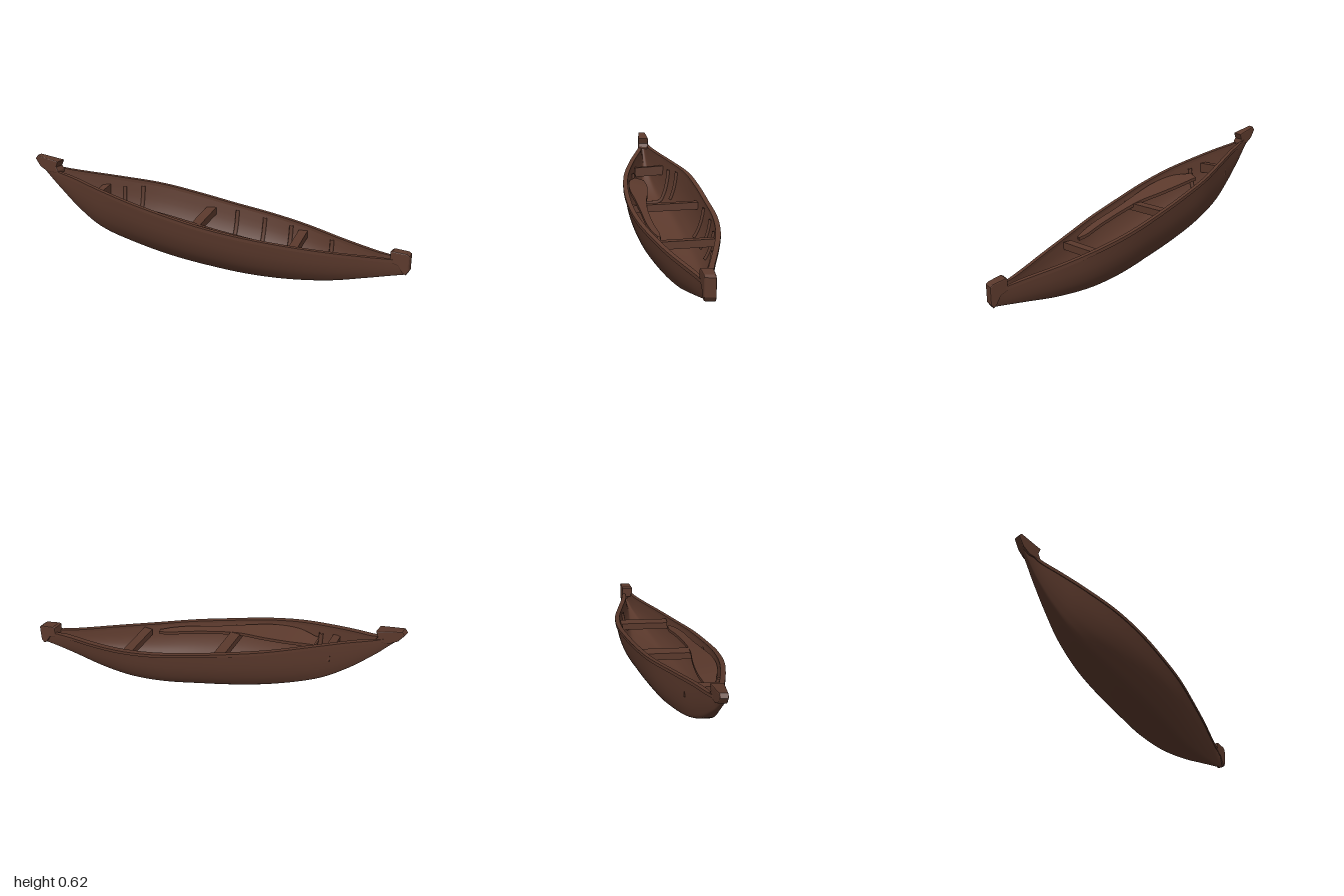
import * as THREE from 'three';

const wood = new THREE.MeshStandardMaterial({ color: 0x5b392c, side: THREE.DoubleSide });
wood.name = 'dark brown wood';

// Hull stations: x, far rim z, far rim y, near rim z, near rim y, keel y
const stations = [
  [-0.98, 0.247, 0.59, 0.282, 0.59, 0.575],
  [-0.92, 0.225, 0.565, 0.276, 0.56, 0.505],
  [-0.86, 0.195, 0.545, 0.272, 0.535, 0.437],
  [-0.74, 0.128, 0.52, 0.281, 0.51, 0.322],
  [-0.6, 0.04, 0.49, 0.295, 0.475, 0.228],
  [-0.4, -0.08, 0.445, 0.3, 0.425, 0.16],
  [-0.2, -0.158, 0.393, 0.275, 0.372, 0.105],
  [0, -0.22, 0.34, 0.225, 0.317, 0.062],
  [0.2, -0.275, 0.292, 0.155, 0.27, 0.025],
  [0.4, -0.3, 0.246, 0.06, 0.226, 0.004],
  [0.6, -0.295, 0.2, -0.045, 0.188, 0.005],
  [0.78, -0.284, 0.166, -0.15, 0.158, 0.026],
  [0.9, -0.285, 0.146, -0.216, 0.142, 0.043],
  [0.985, -0.298, 0.135, -0.248, 0.135, 0.056],
];
const curve = (f) => new THREE.CatmullRomCurve3(
  stations.map((s) => new THREE.Vector3(...f(s))), false, 'catmullrom');
const farRim = curve((s) => [s[0], s[2], s[1]]);
const nearRim = curve((s) => [s[0], s[4], s[3]]);
const keel = curve((s) => [s[0], s[5], (s[1] + s[3]) / 2]);

// Half cross-section, flat floor to steep side: (width, depth) as fractions
const section = new THREE.SplineCurve([[0, 1], [0.25, 0.995], [0.5, 0.955], [0.66, 0.82],
  [0.8, 0.64], [0.92, 0.37], [1, 0]].map((p) => new THREE.Vector2(...p)));

function tAt(x) {
  let lo = 0, hi = 1;
  for (let i = 0; i < 30; i++) {
    const mid = (lo + hi) / 2;
    if (keel.getPoint(mid).x < x) lo = mid; else hi = mid;
  }
  return lo;
}

// Point on the shell: s runs from -1 (far rim) over the keel to 1 (near rim)
function shell(t, s, inset, floor) {
  const rim = (s < 0 ? farRim : nearRim).getPoint(t);
  const k = keel.getPoint(t);
  const { x: u, y: v } = section.getPoint(Math.abs(s));
  const half = rim.z - k.z;
  const w = Math.sign(half) * Math.max(Math.abs(half) - inset, Math.abs(half) * 0.5);
  const bottom = Math.min(k.y + floor, Math.max(k.y, rim.y - 0.01));
  return new THREE.Vector3(k.x, rim.y + (bottom - rim.y) * v, k.z + w * u);
}

// Smooth surface from a function of two grid parameters
function grid(f, nu, nv) {
  const pos = [], index = [];
  for (let i = 0; i <= nu; i++) {
    for (let j = 0; j <= nv; j++) {
      const p = f(i / nu, j / nv);
      pos.push(p.x, p.y, p.z);
      if (i < nu && j < nv) {
        const a = i * (nv + 1) + j, b = a + nv + 1;
        index.push(a, a + 1, b, a + 1, b + 1, b);
      }
    }
  }
  const g = new THREE.BufferGeometry();
  g.setAttribute('position', new THREE.Float32BufferAttribute(pos, 3));
  g.setIndex(index);
  g.computeVertexNormals();
  return g;
}

// Four-sided bar with sharp edges; corner(t, i) gives each corner
function bar(corner, n) {
  const g = grid((u, v) => corner(u, Math.round(v * 4) % 4), n, 4).toNonIndexed();
  g.computeVertexNormals();
  return g;
}

export function createModel() {
  const group = new THREE.Group();
  const add = (name, geometry) => {
    const m = new THREE.Mesh(geometry, wood);
    m.name = name;
    group.add(m);
    return m;
  };

  // Outer planking and inner lining
  add('outerHull', grid((u, v) => shell(u, v * 2 - 1, 0.003, 0), 64, 36));
  add('innerHull', grid((u, v) => shell(u, 1 - v * 2, 0.024, 0.028), 64, 36));

  // Gunwales along both rims
  for (const side of [-1, 1]) {
    add(side < 0 ? 'farGunwale' : 'nearGunwale', bar((t, i) => {
      const p = shell(t, side, i === 0 || i === 3 ? 0 : 0.026, 0);
      p.y += i < 2 ? 0.003 : -0.015;
      return p;
    }, 64));
  }

  // Raised end posts, sheared to follow the hull's slanted centreline
  function post(name, profile, x0, x1, z0, z1, w0, w1) {
    const shape = new THREE.Shape(profile.map((p) => new THREE.Vector2(...p)));
    const g = new THREE.ExtrudeGeometry(shape, {
      depth: 0.76, bevelEnabled: true, bevelThickness: 0.12,
      bevelSize: 0.006, bevelOffset: -0.006, bevelSegments: 2,
    });
    g.translate(0, 0, -0.38);
    const p = g.attributes.position;
    for (let i = 0; i < p.count; i++) {
      const k = (p.getX(i) - x0) / (x1 - x0);
      p.setZ(i, z0 + (z1 - z0) * k + p.getZ(i) * (w0 + (w1 - w0) * k));
    }
    g.computeVertexNormals();
    add(name, g);
  }
  post('highEndPost', [[-1, 0.605], [-0.985, 0.625], [-0.86, 0.597], [-0.872, 0.565],
    [-0.86, 0.545], [-0.86, 0.53], [-0.93, 0.535], [-0.97, 0.56]],
  -1, -0.86, 0.266, 0.239, 0.04, 0.066);
  post('lowEndPost', [[0.9, 0.125], [0.9, 0.184], [0.912, 0.19], [0.985, 0.179], [1, 0.168],
    [0.998, 0.078], [0.983, 0.056], [0.965, 0.07], [0.94, 0.11]],
  0.9, 1, -0.252, -0.276, 0.064, 0.056);

  // Cross seats
  function seat(name, a, b, width, height) {
    const from = new THREE.Vector3(...a), to = new THREE.Vector3(...b);
    const m = add(name, new THREE.BoxGeometry(width, height, from.distanceTo(to)));
    m.position.copy(from).add(to).multiplyScalar(0.5);
    m.lookAt(to);
  }
  seat('highSeat', [-0.655, 0.425, 0.092], [-0.627, 0.413, 0.263], 0.04, 0.055);
  seat('middleSeat', [-0.122, 0.3, -0.152], [-0.067, 0.283, 0.208], 0.055, 0.04);
  seat('lowSeat', [0.39, 0.2, -0.268], [0.432, 0.187, 0.002], 0.05, 0.04);

  // Ribs against the far inside wall
  for (const x of [-0.48, 0.02, 0.17, 0.32, 0.56]) {
    const t = tAt(x), pts = [];
    for (let i = 0; i <= 6; i++) pts.push(shell(t, -0.55 - i * 0.065, 0.026, 0.03));
    add('rib', new THREE.TubeGeometry(new THREE.CatmullRomCurve3(pts), 10, 0.012, 6));
  }
  // Rib running across the floor
  const floorPts = [];
  for (let i = -8; i <= 8; i++) floorPts.push(shell(tAt(-0.55 + i * 0.002), i / 8.8, 0.028, 0.03));
  add('floorRib', new THREE.TubeGeometry(new THREE.CatmullRomCurve3(floorPts), 24, 0.012, 6));

  // Paddle leaning along the near wall: x, y, z, half width
  const paddle = [[-0.53, 0.375, 0.225, 0.028], [-0.4, 0.368, 0.215, 0.052], [-0.25, 0.345, 0.195, 0.052],
    [-0.1, 0.315, 0.165, 0.032], [0.05, 0.278, 0.125, 0.022], [0.2, 0.243, 0.08, 0.022],
    [0.3, 0.218, 0.04, 0.02], [0.36, 0.205, 0.015, 0.008]];
  const path = new THREE.CatmullRomCurve3(paddle.map((p) => new THREE.Vector3(p[0], p[1], p[2])), false, 'catmullrom');
  const widths = new THREE.SplineCurve(paddle.map((p, i) => new THREE.Vector2(i, p[3])));
  add('paddle', bar((t, i) => {
    const p = path.getPoint(t), w = widths.getPoint(t).y * (i === 0 || i === 3 ? 1 : -1);
    p.z += w;
    p.y += w * 0.25 + (i < 2 ? 0.009 : -0.009);
    return p;
  }, 28));

  return group;
}
